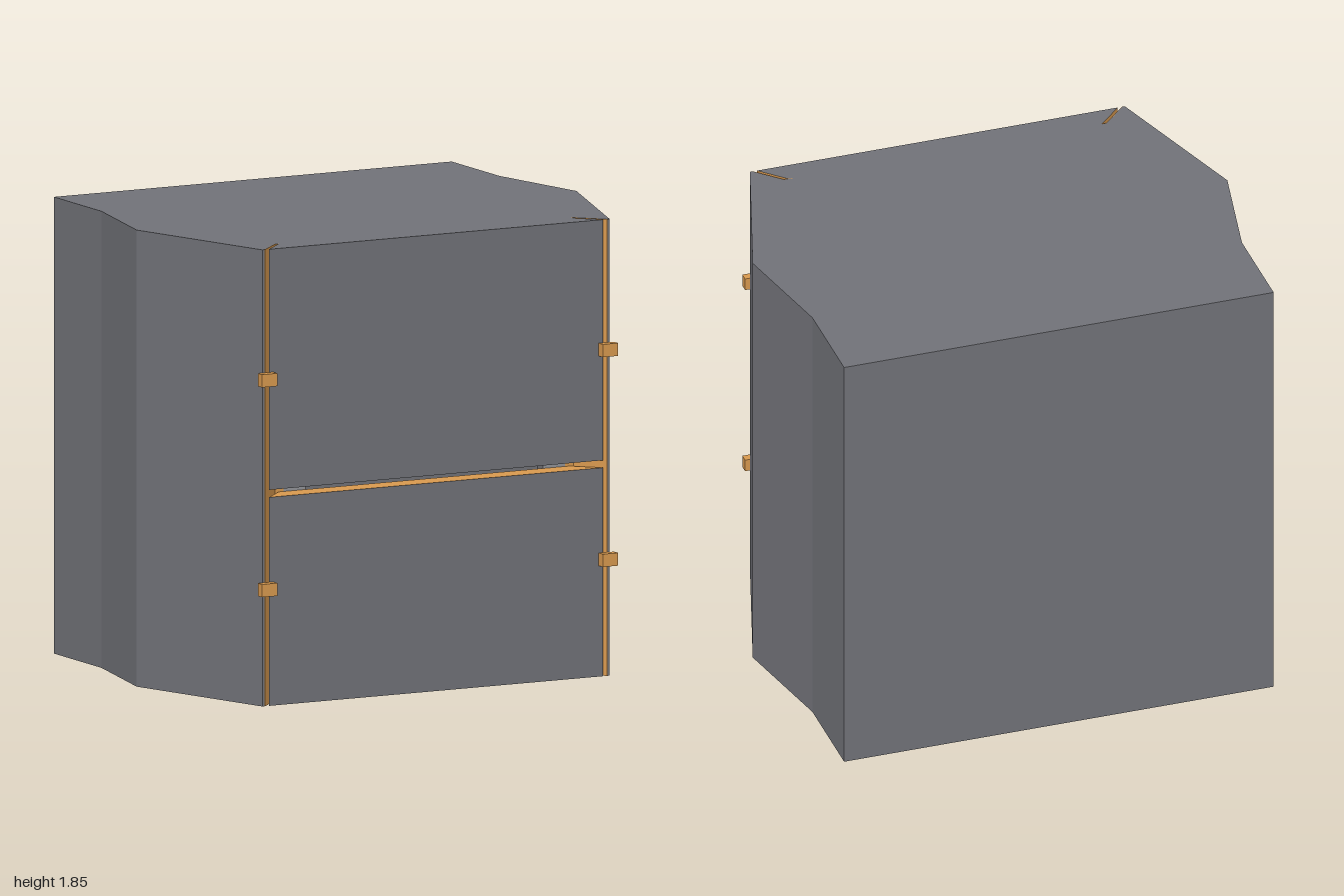
import * as THREE from 'three';

const H = 1.85, FRONT = 0.745, INNER = 0.645;
const grey = new THREE.MeshStandardMaterial({ color: 0x717278 });
const lining = new THREE.MeshStandardMaterial({ color: 0x939499 });
const orange = new THREE.MeshStandardMaterial({ color: 0xd8994f });

// Extrudes a plan outline of [x, z] points from y0 to y1.
function prism(name, points, y0, y1, material) {
  const shape = new THREE.Shape(points.map(([x, z]) => new THREE.Vector2(x, -z)));
  const geo = new THREE.ExtrudeGeometry(shape, { depth: y1 - y0, bevelEnabled: false });
  geo.rotateX(-Math.PI / 2).translate(0, y0, 0);
  const mesh = new THREE.Mesh(geo, material);
  mesh.name = name;
  return mesh;
}

function box(name, x0, x1, y0, y1, z0, z1, material) {
  const geo = new THREE.BoxGeometry(x1 - x0, y1 - y0, z1 - z0);
  geo.translate((x0 + x1) / 2, (y0 + y1) / 2, (z0 + z1) / 2);
  const mesh = new THREE.Mesh(geo, material);
  mesh.name = name;
  return mesh;
}

// Mirrors half an outline across x = 0.
const mirrored = half => [...half, ...half.map(([x, z]) => [-x, z]).reverse()];

// Door leaf whose sides taper inwards at 45 degrees.
function door(name, y0, y1, topMat, bottomMat) {
  const mesh = box(name, -0.76, 0.76, y0, y1, INNER, FRONT,
    [orange, orange, topMat, bottomMat, grey, grey]);
  const pos = mesh.geometry.attributes.position;
  for (let i = 0; i < pos.count; i++) {
    if (pos.getZ(i) < 0.7) pos.setX(i, Math.sign(pos.getX(i)) * 0.66);
  }
  mesh.geometry = mesh.geometry.toNonIndexed();
  mesh.geometry.computeVertexNormals();
  return mesh;
}

export function createModel() {
  const model = new THREE.Group();
  model.name = 'cabinet';

  // Shell: floor and roof slabs joined by walls around an open-fronted cavity
  const outer = [[0.905, -0.79], [0.905, -0.39], [1, 0.08], [0.79, FRONT], [0.78, FRONT], [0.68, INNER]];
  const solid = mirrored(outer);
  const hollow = mirrored([...outer, [0.54, INNER], [0.54, -0.7]]);
  model.add(prism('floor', solid, 0, 0.09, grey));
  model.add(prism('walls', hollow, 0.09, H - 0.09, grey));
  model.add(prism('roof', solid, H - 0.09, H, grey));
  model.add(box('cavityBack', -0.54, 0.54, 0.09, H - 0.09, -0.7, -0.69, lining));
  model.add(box('shelf', -0.54, 0.54, 0.82, 0.852, -0.69, 0.6, grey));

  // Upper and lower doors with a narrow slot between them
  model.add(door('lowerDoor', 0, 0.845, orange, grey));
  model.add(door('upperDoor', 0.875, H, grey, orange));

  for (const s of [-1, 1]) {
    // Thin trim on the slanted jamb and the rebate behind it
    const trim = [[0.78, FRONT], [0.68, INNER], [0.64, INNER], [0.64, INNER + 0.002],
      [0.679, INNER + 0.002], [0.777, FRONT]].map(([x, z]) => [s * x, z]);
    model.add(prism('jambTrim', trim, 0, H, orange));
    model.add(box('innerFrame', s * 0.59 - 0.05, s * 0.59 + 0.05, 0.09, H - 0.09, INNER - 0.01, INNER + 0.002, lining));

    // Hinges bridging the door seams
    for (const y of [0.475, 1.325]) {
      model.add(box('hinge', s * 0.775 - 0.035, s * 0.775 + 0.035, y - 0.026, y + 0.026, FRONT, 0.78, orange));
    }
  }
  return model;
}
